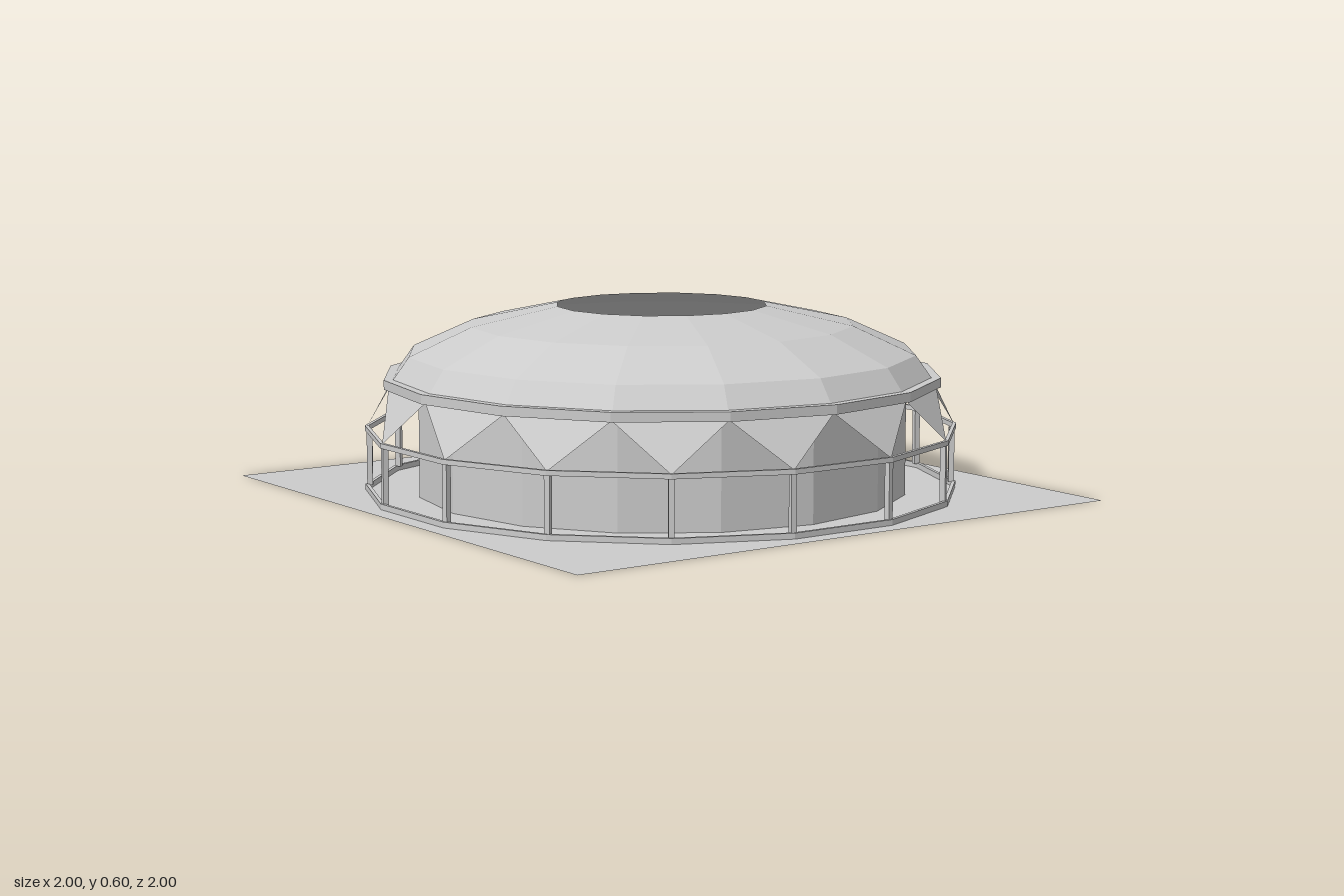
import * as THREE from 'three';

const SIDES = 16;
const STEP = (Math.PI * 2) / SIDES;

export function createModel() {
  const model = new THREE.Group();
  model.name = 'arena';
  const solid = new THREE.MeshStandardMaterial({ color: 0xcccccc, flatShading: true });
  const thin = new THREE.MeshStandardMaterial({ color: 0xcccccc, flatShading: true, side: THREE.DoubleSide });

  const add = (name, geometry, material = solid, parent = model) => {
    const mesh = new THREE.Mesh(geometry, material);
    mesh.name = name;
    parent.add(mesh);
    return mesh;
  };
  // Sixteen-sided surface from [radius, height] points
  const lathe = (points, turn = 0) =>
    new THREE.LatheGeometry(points.map(([r, y]) => new THREE.Vector2(r, y)), SIDES, turn);
  // Closed ring with a rectangular section
  const ring = (inner, outer, y0, y1, turn = 0) =>
    lathe([[inner, y0], [outer, y0], [outer, y1], [inner, y1], [inner, y0]], turn);
  const polar = (r, y, a) => new THREE.Vector3(r * Math.sin(a), y, r * Math.cos(a));

  // Ground slab
  add('ground', new THREE.PlaneGeometry(2, 2).rotateX(-Math.PI / 2), thin);

  // Arena wall: thick lower part and thin upper part below the roof
  add('lowerWall', ring(0.75, 0.79, 0, 0.2));
  add('upperWall', lathe([[0.79, 0.2], [0.79, 0.37]]), thin);

  // Faceted roof with a round opening, and its rim
  add('roof', lathe([[0.87, 0.38], [0.82, 0.45], [0.62, 0.54], [0.34, 0.6]]), thin);
  add('roofRim', ring(0.865, 0.9, 0.35, 0.38));

  // Outer colonnade, turned half a side against the roof
  add('baseRing', ring(0.945, 0.957, 0, 0.018, STEP / 2));
  add('upperRing', ring(0.945, 0.957, 0.193, 0.209, STEP / 2));

  const posts = new THREE.Group();
  posts.name = 'posts';
  const braces = new THREE.Group();
  braces.name = 'braces';
  model.add(posts, braces);
  for (let i = 0; i < SIDES; i++) {
    const a = (i + 0.5) * STEP;
    const post = add('post', new THREE.BoxGeometry(0.018, 0.18, 0.018), solid, posts);
    post.position.copy(polar(0.942, 0.105, a));
    post.rotation.y = a;

    // Triangular panel from the post head up to two rim corners
    const panel = new THREE.BufferGeometry().setFromPoints([
      polar(0.95, 0.205, a),
      polar(0.885, 0.352, a + STEP / 2),
      polar(0.885, 0.352, a - STEP / 2),
    ]);
    panel.computeVertexNormals();
    add('bracePanel', panel, thin, braces);
  }
  return model;
}
